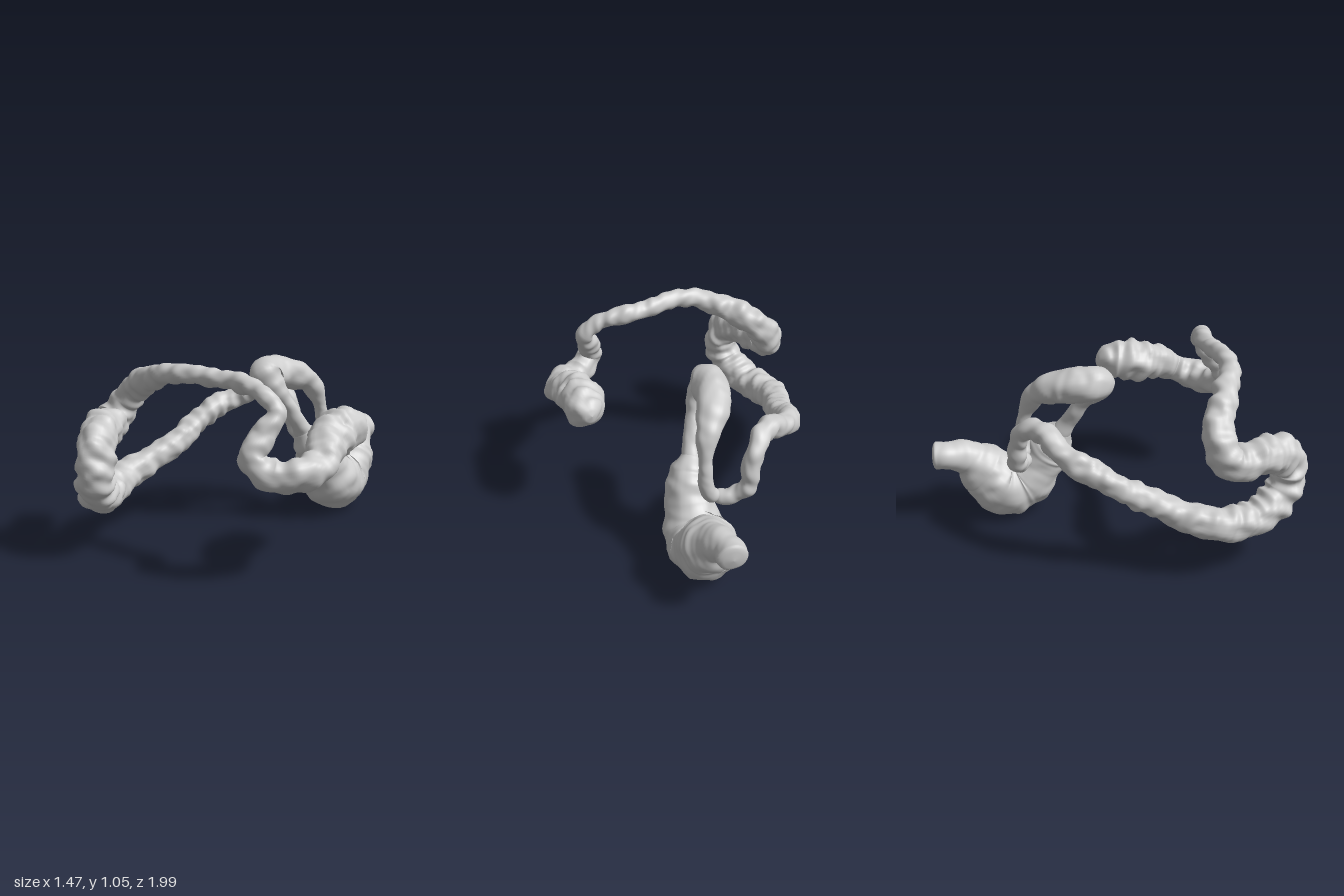
import * as THREE from 'three';

const material = new THREE.MeshStandardMaterial({ color: 0xcccccc });

// Organic tube through [x, y, z, radius] stations, with rounded ends,
// uneven ring-shaped pouches and an irregular lumpy surface
function organTube(name, stations, { rings, pouch, bump, steps, sides = 32, phase = 0, blunt = 1 }) {
  const curve = new THREE.CatmullRomCurve3(
    stations.map(([x, y, z]) => new THREE.Vector3(x, y, z)), false, 'centripetal');
  curve.arcLengthDivisions = 800;
  const length = curve.getLength();
  const frames = curve.computeFrenetFrames(steps, false);

  const radiusAt = (t) => {
    const s = t * (stations.length - 1);
    const i = Math.min(Math.floor(s), stations.length - 2);
    return THREE.MathUtils.lerp(stations[i][3], stations[i + 1][3], THREE.MathUtils.smoothstep(s - i, 0, 1));
  };

  const positions = [], index = [];
  const p = new THREE.Vector3(), dir = new THREE.Vector3();
  for (let i = 0; i <= steps; i++) {
    const u = i / steps;
    const base = radiusAt(curve.getUtoTmapping(u));
    const capDepth = Math.min(1, Math.min(u, 1 - u) * length / (base * blunt));
    const cap = Math.sqrt(1 - (1 - capDepth) ** 2);
    const centre = curve.getPointAt(u);
    for (let j = 0; j < sides; j++) {
      const a = (j / sides) * Math.PI * 2;
      dir.copy(frames.normals[i]).multiplyScalar(Math.cos(a))
        .addScaledVector(frames.binormals[i], Math.sin(a));
      p.copy(centre).addScaledVector(dir, base);
      const ring = Math.sin(u * rings * Math.PI * 2 + 1.6 * Math.sin(a + phase + u * 31) + 2 * Math.sin(u * 23))
        * (0.6 + 0.4 * Math.sin(2 * a + u * 47));
      const lump = Math.sin(p.x * 37 + phase + 2 * Math.sin(p.y * 19)) * Math.sin(p.y * 33 + 1 + p.z * 14)
        + Math.sin(p.z * 35 + p.x * 23) * Math.sin(p.y * 25 - p.x * 18)
        + 0.4 * Math.sin(p.x * 71 + p.z * 40) * Math.sin(p.y * 66 - p.z * 52);
      const r = base * cap * (1 + pouch * ring + bump * lump);
      p.copy(centre).addScaledVector(dir, r);
      positions.push(p.x, p.y, p.z);
      if (i < steps) {
        const b = i * sides + j, c = i * sides + (j + 1) % sides;
        index.push(b, c, b + sides, c, c + sides, b + sides);
      }
    }
  }
  const geometry = new THREE.BufferGeometry();
  geometry.setAttribute('position', new THREE.Float32BufferAttribute(positions, 3));
  geometry.setIndex(index);
  geometry.computeVertexNormals();
  const mesh = new THREE.Mesh(geometry, material);
  mesh.name = name;
  return mesh;
}

export function createModel() {
  const group = new THREE.Group();
  group.name = 'digestiveTract';

  // Gullet stub widening into the stomach sac, rising to a broad shoulder
  group.add(organTube('stomach', [
    [0.06, 0.41, -1.0, 0.08], [0.06, 0.41, -0.91, 0.078], [0.09, 0.38, -0.82, 0.095],
    [0.11, 0.29, -0.72, 0.15], [0.105, 0.19, -0.61, 0.182], [0.125, 0.21, -0.49, 0.165],
    [0.125, 0.32, -0.4, 0.135], [0.115, 0.41, -0.35, 0.122], [0.1, 0.47, -0.31, 0.1],
    [0.07, 0.55, -0.26, 0.05],
  ], { rings: 9, pouch: 0.02, bump: 0.03, steps: 160, sides: 40, blunt: 0.35 }));

  // First gut loop: narrow neck, bulb, backward limb and thin descent
  group.add(organTube('duodenum', [
    [0.09, 0.48, -0.3, 0.06], [0.065, 0.6, -0.23, 0.046], [0.035, 0.72, -0.16, 0.042],
    [-0.015, 0.82, -0.1, 0.07], [-0.055, 0.87, -0.1, 0.1], [-0.055, 0.87, -0.2, 0.095],
    [-0.02, 0.84, -0.33, 0.085], [0.03, 0.78, -0.42, 0.062], [0.06, 0.63, -0.48, 0.036],
    [0.05, 0.47, -0.5, 0.042], [0.0, 0.4, -0.49, 0.045],
  ], { rings: 8, pouch: 0.025, bump: 0.05, steps: 180, phase: 2 }));

  // Long large bowel, from the blind pouch round the frame to the inner end
  group.add(organTube('colon', [
    // blind pouch and rising limb
    [0.56, 0.72, -0.04, 0.07], [0.58, 0.71, 0.07, 0.105], [0.58, 0.7, 0.21, 0.118],
    [0.62, 0.67, 0.33, 0.098], [0.655, 0.61, 0.44, 0.082], [0.61, 0.575, 0.56, 0.085],
    [0.5, 0.58, 0.65, 0.078], [0.43, 0.66, 0.7, 0.066], [0.45, 0.77, 0.63, 0.062],
    // transverse limb
    [0.48, 0.87, 0.56, 0.05], [0.4, 0.94, 0.55, 0.045], [0.25, 0.98, 0.53, 0.05],
    [0.1, 0.99, 0.55, 0.048], [-0.06, 1.0, 0.595, 0.05], [-0.2, 0.98, 0.6, 0.055],
    [-0.35, 0.93, 0.55, 0.068], [-0.48, 0.86, 0.5, 0.078], [-0.57, 0.77, 0.49, 0.085],
    // forward loop
    [-0.61, 0.67, 0.55, 0.092], [-0.55, 0.66, 0.7, 0.098], [-0.47, 0.63, 0.83, 0.1],
    [-0.435, 0.52, 0.89, 0.098], [-0.46, 0.39, 0.86, 0.096], [-0.53, 0.31, 0.74, 0.096],
    [-0.6, 0.3, 0.6, 0.092], [-0.63, 0.33, 0.44, 0.086], [-0.6, 0.38, 0.28, 0.076],
    // backward limb
    [-0.55, 0.45, 0.11, 0.07], [-0.53, 0.54, -0.06, 0.066], [-0.48, 0.62, -0.21, 0.068],
    [-0.4, 0.675, -0.32, 0.06], [-0.32, 0.715, -0.37, 0.066], [-0.23, 0.71, -0.47, 0.052],
    // inner descent
    [-0.18, 0.61, -0.52, 0.05], [-0.16, 0.49, -0.53, 0.05], [-0.09, 0.42, -0.51, 0.045],
    [0.02, 0.4, -0.48, 0.042],
  ], { rings: 54, pouch: 0.075, bump: 0.085, steps: 640, phase: 0.7 }));

  return group;
}
